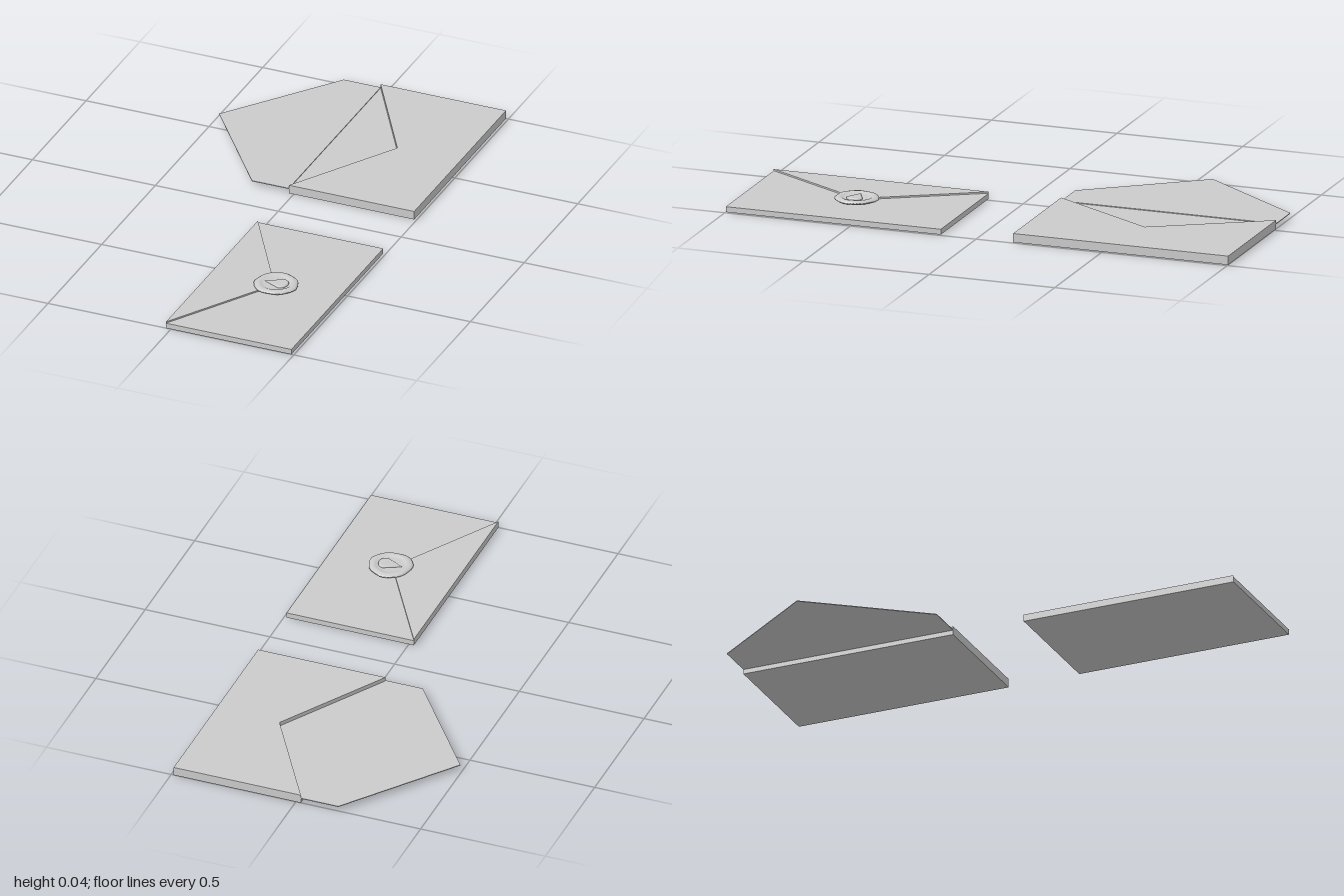
import * as THREE from 'three';
import { mergeVertices } from 'three/addons/utils/BufferGeometryUtils.js';

const material = new THREE.MeshStandardMaterial({ color: 0xcccccc });
const X0 = -0.02, X1 = 0.49, TIP = 0.235, HALF = 0.428, MID = 0.572;

// Flat plate: outline in x,z raised from y0 to y1
function plate(name, points, y0, y1) {
  const shape = new THREE.Shape(points.map(([x, z]) => new THREE.Vector2(x, -z)));
  const geometry = new THREE.ExtrudeGeometry(shape, { depth: y1 - y0, bevelEnabled: false });
  geometry.rotateX(-Math.PI / 2).translate(0, y0, 0);
  const mesh = new THREE.Mesh(geometry, material);
  mesh.name = name;
  return mesh;
}

// Merge seams so that the surface shades smoothly
function smooth(geometry) {
  geometry.deleteAttribute('uv');
  geometry.deleteAttribute('normal');
  const merged = mergeVertices(geometry, 1e-5);
  merged.computeVertexNormals();
  return merged;
}

const rectangle = [[X0, -HALF], [X1, -HALF], [X1, HALF], [X0, HALF]];

function openEnvelope() {
  const group = new THREE.Group();
  group.name = 'openEnvelope';
  group.add(
    plate('backPanel', rectangle, 0, 0.018),
    plate('notchedFrontPanel', [...rectangle, [TIP, 0]], 0.018, 0.034),
    plate('openFlap', [[X0, -HALF], [X0, HALF], [-0.17, HALF], [-0.49, 0], [-0.17, -HALF]], 0.018, 0.021)
  );
  group.position.z = -MID;
  return group;
}

function waxSeal() {
  const group = new THREE.Group();
  group.name = 'waxSeal';

  // Pressed disc with a raised, slightly uneven rim
  const profile = [[0, 0], [0.077, 0], [0.083, 0.004], [0.083, 0.008], [0.077, 0.012], [0.066, 0.0135],
    [0.058, 0.012], [0.054, 0.009], [0.045, 0.008], [0, 0.008]].map(([r, y]) => new THREE.Vector2(r, y));
  const disc = new THREE.LatheGeometry(profile, 40);
  const p = disc.attributes.position;
  for (let i = 0; i < p.count; i++) {
    const a = Math.atan2(p.getZ(i), p.getX(i));
    const k = 1 + 0.022 * Math.sin(3 * a + 0.6) + 0.015 * Math.sin(7 * a);
    p.setXYZ(i, p.getX(i) * k, p.getY(i) * (1 + 0.05 * Math.sin(2 * a + 1)), p.getZ(i) * k);
  }
  const discMesh = new THREE.Mesh(smooth(disc), material);
  discMesh.name = 'sealDisc';

  // Rounded triangular stamp, rising away from its point
  const shape = new THREE.Shape();
  shape.moveTo(-0.038, 0);
  shape.lineTo(0.022, -0.025);
  shape.quadraticCurveTo(0.04, -0.02, 0.04, 0);
  shape.quadraticCurveTo(0.04, 0.02, 0.022, 0.025);
  shape.closePath();
  const stamp = new THREE.ExtrudeGeometry(shape, {
    depth: 0.006, bevelThickness: 0.005, bevelSize: 0.007, bevelSegments: 4, curveSegments: 6
  });
  stamp.rotateX(-Math.PI / 2).translate(0, 0.004, 0);
  const q = stamp.attributes.position;
  for (let i = 0; i < q.count; i++) {
    if (q.getY(i) > 0.008) q.setY(i, q.getY(i) + 0.05 * (q.getX(i) - 0.02));
  }
  const stampMesh = new THREE.Mesh(smooth(stamp), material);
  stampMesh.name = 'sealStamp';

  group.add(discMesh, stampMesh);
  group.position.set(0.242, 0.026, 0);
  return group;
}

function closedEnvelope() {
  const group = new THREE.Group();
  group.name = 'closedEnvelope';
  group.add(
    plate('envelopeBody', rectangle, 0, 0.021),
    plate('closedFlap', [[X0, -HALF], [TIP, 0], [X0, HALF]], 0.021, 0.027),
    waxSeal()
  );
  group.position.z = MID;
  return group;
}

export function createModel() {
  const model = new THREE.Group();
  model.name = 'envelopes';
  model.add(openEnvelope(), closedEnvelope());
  return model;
}
